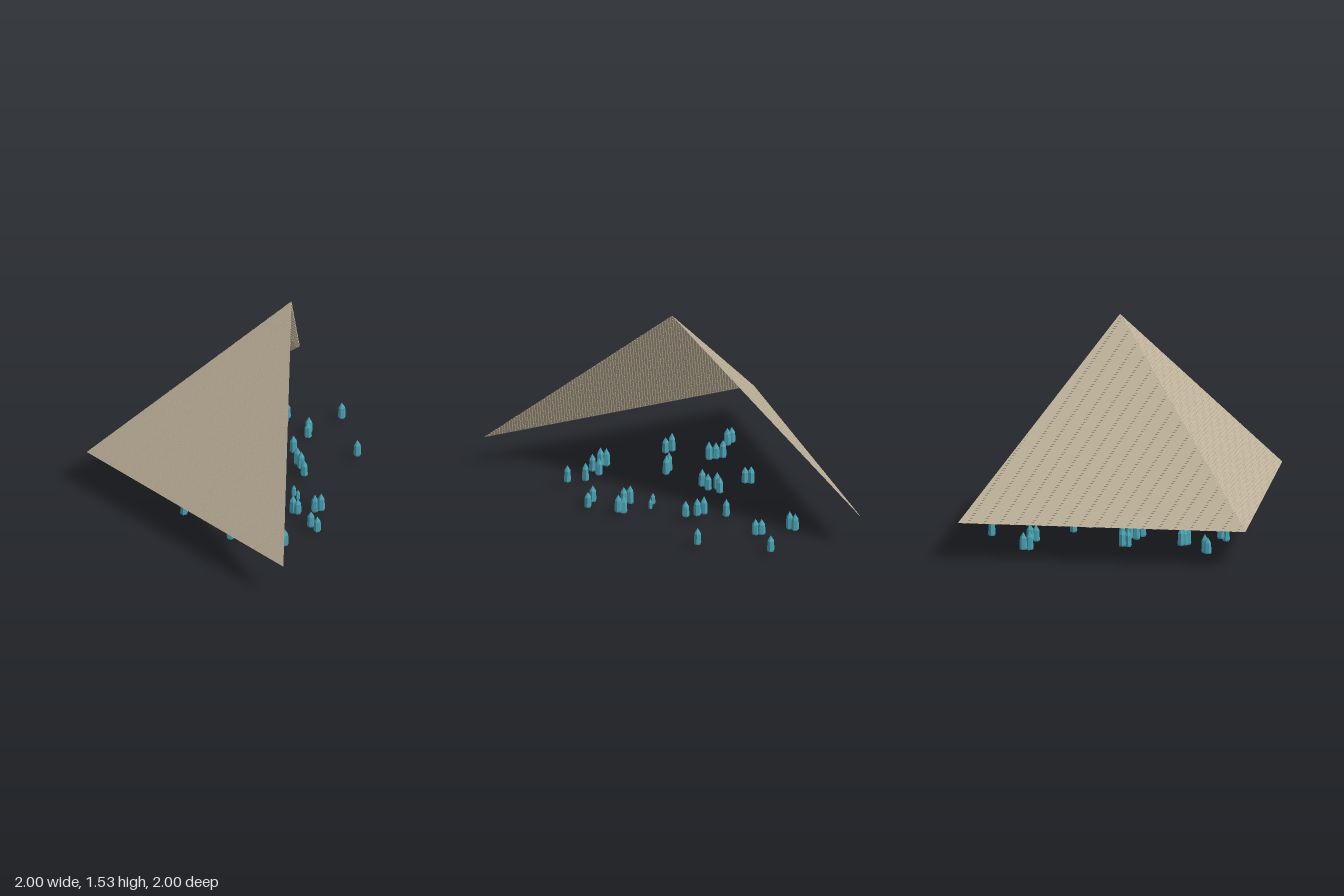
import * as THREE from 'three';
import { mergeGeometries } from 'three/addons/utils/BufferGeometryUtils.js';

const BASE = 0.26, TOP = 1.53, ROWS = 84;

// One sloping wall, facing -z: a thin triangular sheet
function wallSheet() {
  const g = new THREE.BufferGeometry();
  g.setAttribute('position', new THREE.Float32BufferAttribute(
    [1, BASE, -1, -1, BASE, -1, 0, TOP, 0], 3));
  g.computeVertexNormals();
  return g;
}

// Running-bond courses of very thin blocks lying on the slope
function wallBlocks() {
  const blocks = [];
  const rise = TOP - BASE;
  const pitch = Math.hypot(rise, 1) / ROWS;
  const width = pitch * 2;
  const tilt = Math.atan2(1, rise);
  for (let r = 0; r < ROWS; r++) {
    const t = (r + 0.5) / ROWS;
    const half = 1 - (r + 1) / ROWS;
    const shift = (r % 2) * 0.5;
    const n = Math.ceil(half / width) + 1;
    for (let i = -n; i <= n; i++) {
      const a = Math.max(-half, (i + shift - 0.5) * width);
      const b = Math.min(half, (i + shift + 0.5) * width);
      if (b - a < 0.006) continue;
      const g = new THREE.BoxGeometry(b - a - 0.002, pitch - 0.002, 0.003);
      g.rotateX(tilt);
      g.translate((a + b) / 2, BASE + rise * t, -1 + t);
      blocks.push(g);
    }
  }
  return mergeGeometries(blocks);
}

// Six-sided crystal with a pointed tip, standing on its origin
function crystalGeometry() {
  const profile = [[0, 0], [0.88, 0], [1, 0.08], [0.86, 0.66], [0, 1]]
    .map(([x, y]) => new THREE.Vector2(x, y));
  const g = new THREE.LatheGeometry(profile, 6).toNonIndexed();
  g.computeVertexNormals();
  return g;
}

// Repeatable pseudo-random numbers from 0 to 1
function seeded(seed) {
  return () => (seed = (seed * 16807) % 2147483647) / 2147483647;
}

export function createModel() {
  const model = new THREE.Group();
  const stone = new THREE.MeshStandardMaterial({ color: 0xc2b59d, side: THREE.DoubleSide });
  stone.name = 'sandstone';
  const teal = new THREE.MeshStandardMaterial({ color: 0x4aa3b5, flatShading: true });
  teal.name = 'tealCrystal';

  // Two adjoining pyramid walls, at the back and at -x
  const sheet = wallSheet(), blocks = wallBlocks();
  [['backWall', 0], ['sideWall', Math.PI / 2]].forEach(([name, turn]) => {
    const wall = new THREE.Group();
    wall.name = name;
    wall.rotation.y = turn;
    const s = new THREE.Mesh(sheet, stone);
    s.name = name + 'Sheet';
    const b = new THREE.Mesh(blocks, stone);
    b.name = name + 'Blocks';
    wall.add(s, b);
    model.add(wall);
  });

  // Crystal clusters: centre x, z, direction of the row in degrees, count
  const clusters = [
    [0.55, -0.425, -40, 2], [0.84, -0.40, 0, 1], [0.285, -0.29, 0, 1],
    [0.195, -0.135, 100, 2], [0.155, -0.04, 0, 1], [0.58, 0.04, 60, 1],
    [-0.20, 0.255, 90, 2], [-0.075, 0.35, 70, 2], [-0.255, 0.505, 65, 2],
    [-0.69, -0.70, 60, 2], [-0.515, -0.53, 110, 3], [-0.755, -0.275, -45, 2],
    [-0.475, -0.155, 45, 2], [-0.175, -0.315, -35, 2], [-0.09, -0.38, 0, 2],
    [-0.115, -0.61, -40, 2], [-0.71, 0.25, 0, 1], [-0.635, 0.315, -45, 2],
    [-0.56, 0.42, 0, 1], [-0.57, 0.55, 0, 1], [-0.75, 0.19, 0, 1],
    [0.565, -0.67, -30, 2],
  ];
  const crystals = new THREE.Group();
  crystals.name = 'crystals';
  const shape = crystalGeometry();
  const random = seeded(77);
  const addCrystal = (x, z, size) => {
    const c = new THREE.Mesh(shape, teal);
    c.name = 'crystal' + (crystals.children.length + 1);
    c.position.set(x, 0.045 * random(), z);
    c.scale.set(0.027 * size, (0.115 + 0.025 * random()) * size, 0.027 * size);
    c.rotation.y = random() * Math.PI;
    crystals.add(c);
  };
  clusters.forEach(([x, z, degrees, count]) => {
    const angle = THREE.MathUtils.degToRad(degrees);
    for (let i = 0; i < count; i++) {
      const d = (i - (count - 1) / 2) * 0.048;
      addCrystal(x + Math.cos(angle) * d, z + Math.sin(angle) * d, 1);
    }
  });
  // A pair of small ones, and one that rests on the ground
  addCrystal(-0.08, 0.11, 0.65);
  addCrystal(-0.065, 0.135, 0.55);
  addCrystal(-0.2, 0.23, 1);
  crystals.children[crystals.children.length - 1].position.y = 0;
  model.add(crystals);
  return model;
}
